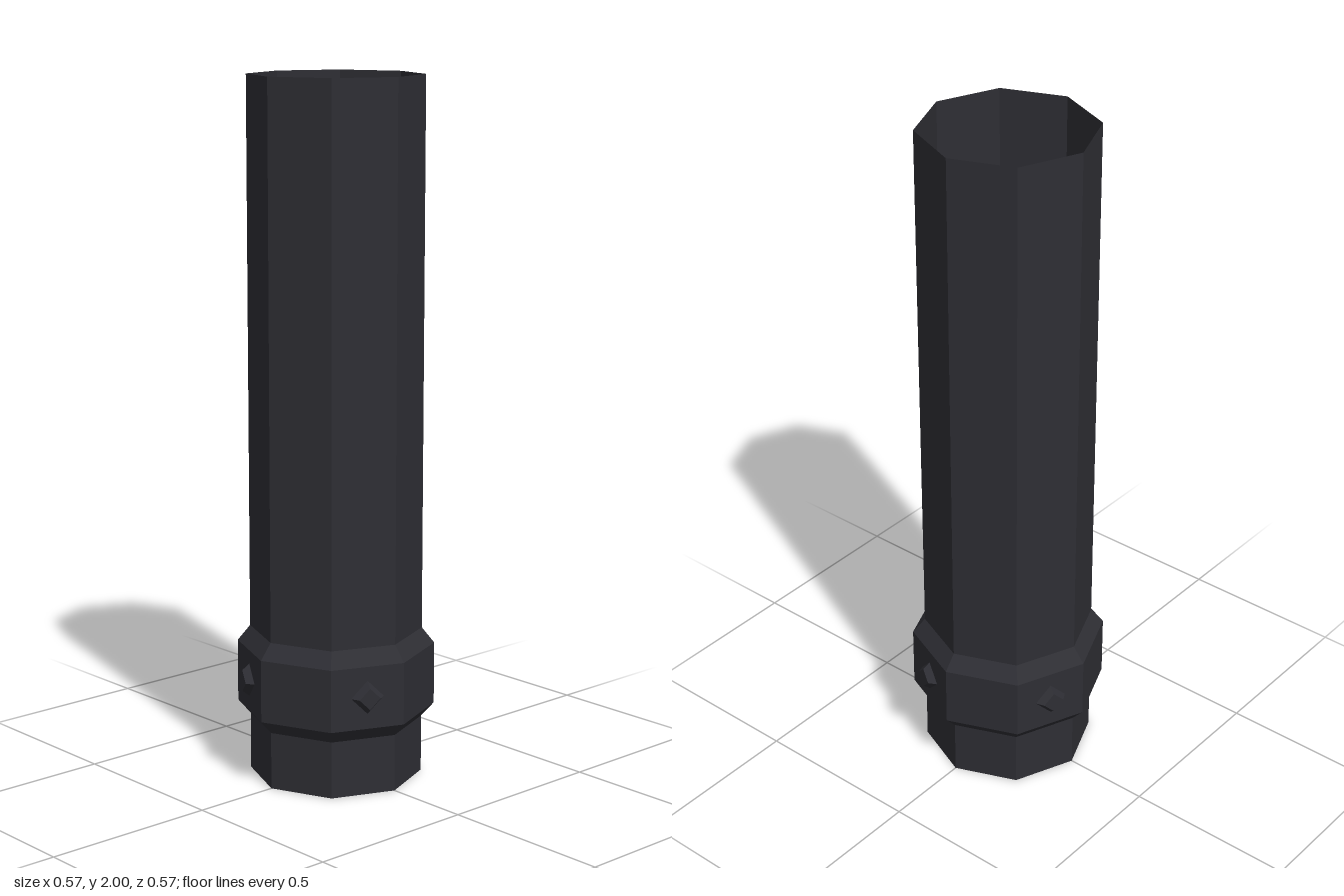
import * as THREE from 'three';

const SIDES = 8;
const TUBE_R = 0.247;
const COLLAR_R = 0.283;

export function createModel() {
  const model = new THREE.Group();
  model.name = 'pipe';

  const darkMetal = new THREE.MeshStandardMaterial({ color: 0x2e2e34, flatShading: true, side: THREE.DoubleSide });
  darkMetal.name = 'darkMetal';

  const add = (name, geometry, parent = model) => {
    const mesh = new THREE.Mesh(geometry, darkMetal);
    mesh.name = name;
    parent.add(mesh);
    return mesh;
  };

  // Thin eight-sided tube, open at both ends
  const tube = add('tube', new THREE.CylinderGeometry(TUBE_R, TUBE_R, 2, SIDES, 1, true));
  tube.position.y = 1;

  // Bevelled collar near the foot
  const profile = [[TUBE_R, 0.165], [COLLAR_R, 0.205], [COLLAR_R, 0.385], [TUBE_R, 0.43]];
  add('collar', new THREE.LatheGeometry(profile.map(([r, y]) => new THREE.Vector2(r, y)), SIDES));

  // Tapered diamond studs on every second face of the collar
  const studGeometry = new THREE.CylinderGeometry(0.031, 0.048, 0.021, 4);
  studGeometry.rotateX(Math.PI / 2);
  studGeometry.translate(0, 0.297, COLLAR_R * Math.cos(Math.PI / SIDES) + 0.0105);
  const studs = new THREE.Group();
  studs.name = 'studs';
  model.add(studs);
  for (let i = 0; i < 4; i++) {
    add(`stud${i + 1}`, studGeometry, studs).rotation.y = -Math.PI / SIDES + i * Math.PI / 2;
  }

  return model;
}
